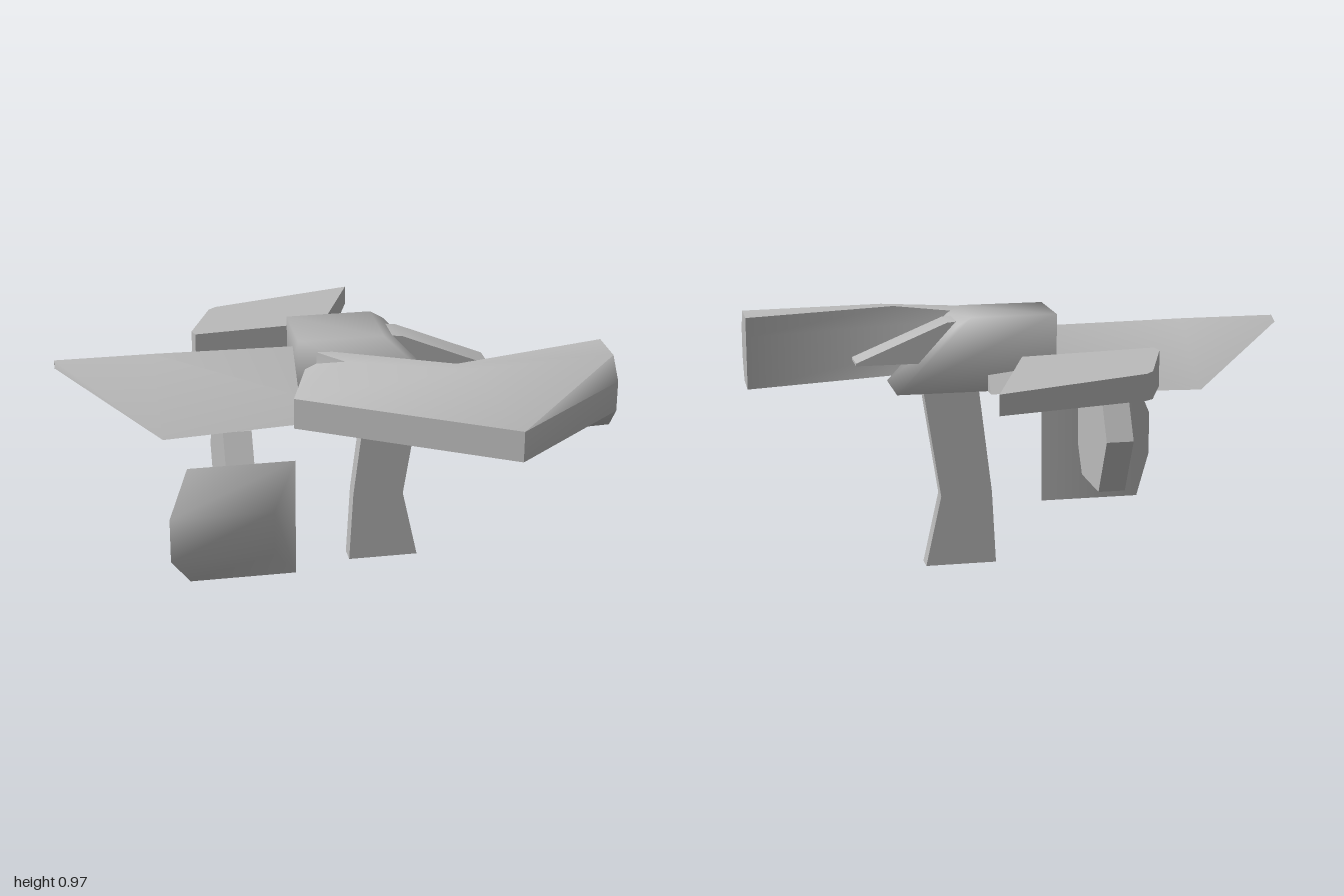
import * as THREE from 'three';
import { toCreasedNormals } from 'three/addons/utils/BufferGeometryUtils.js';

const grey = new THREE.MeshStandardMaterial({ color: 0xbbbbbb });
grey.name = 'grey';

// Skin rings of equal length, closing both ends; `axis` is dropped when triangulating the ends.
function loft(rings, axis, crease) {
  const n = rings[0].length, index = [];
  const id = (r, i) => r * n + (i % n);
  for (let r = 0; r < rings.length - 1; r++) {
    for (let i = 0; i < n; i++) {
      index.push(id(r, i), id(r, i + 1), id(r + 1, i + 1), id(r, i), id(r + 1, i + 1), id(r + 1, i));
    }
  }
  const flat = (ring) => ring.map((p) => new THREE.Vector2(...p.filter((_, k) => k !== axis)));
  const last = rings.length - 1;
  // Run each end cap against the direction of the walls it joins
  const addCap = (r) => {
    const contour = flat(rings[r]);
    const ccw = THREE.ShapeUtils.area(contour) > 0;
    for (const [a, b, c] of THREE.ShapeUtils.triangulateShape(contour, [])) {
      const [A, B, C] = [contour[a], contour[b], contour[c]];
      const triCcw = (B.x - A.x) * (C.y - A.y) - (B.y - A.y) * (C.x - A.x) > 0;
      const alongRing = triCcw === ccw;
      if (alongRing === (r === last)) index.push(id(r, a), id(r, b), id(r, c));
      else index.push(id(r, a), id(r, c), id(r, b));
    }
  };
  addCap(0);
  addCap(last);
  // Turn everything outward if the enclosed volume is negative
  const v = rings.flat().map((p) => new THREE.Vector3(...p));
  let volume = 0;
  for (let i = 0; i < index.length; i += 3) {
    volume += v[index[i]].dot(v[index[i + 1]].clone().cross(v[index[i + 2]]));
  }
  if (volume < 0) index.reverse();
  const g = new THREE.BufferGeometry();
  g.setAttribute('position', new THREE.Float32BufferAttribute(rings.flat(2), 3));
  g.setIndex(index);
  return toCreasedNormals(g, crease);
}

// Side profile (x, y) carried from z0 to z1
const prism = (profile, z0, z1, crease) =>
  loft([z0, z1].map((z) => profile.map(([x, y]) => [x, y, z])), 2, crease);

export function createModel() {
  const model = new THREE.Group();
  const add = (name, geometry) => {
    const mesh = new THREE.Mesh(geometry, grey);
    mesh.name = name;
    model.add(mesh);
  };
  const sharp = 0.5, soft = 1.4, smooth = Math.PI;

  // Pointed roof-shaped hull: x, back z, front z, bottom y, ridge y
  const hull = [[-1, -0.05, 0.02, 0.89, 0.91], [-0.64, -0.28, 0.275, 0.69, 0.91], [0.14, -0.2, 0.2, 0.69, 0.9]];
  add('hull', loft(hull.map(([x, b, f, y0, y1]) => [[x, y0, b], [x, y1, -0.01], [x, y0, f]]), 0, soft));

  // Softly shaded cap with a sloping end, and the narrow spout on it
  add('cap', prism([[-0.12, 0.69], [-0.12, 0.97], [0.2, 0.97], [0.25, 0.94], [0.48, 0.69]], -0.145, 0.115, smooth));
  add('spout', prism([[0.2, 0.79], [0.22, 0.945], [0.28, 0.94], [0.62, 0.8], [0.62, 0.79]], -0.075, 0.05, sharp));

  // Swept front wing: wide blunt edge narrowing to a spine above and below
  const edge = [[-0.18, 0.38], [0.55, 0.8], [1, 0.43], [1, 0.2], [0.42, 0.34], [-0.08, 0.07]];
  const spine = [[0.03, 0.25], [0.46, 0.4], [1, 0.36], [1, 0.2], [0.42, 0.34], [-0.08, 0.07]];
  const ring = (pts, y) => pts.map(([x, z]) => [x, y, z]);
  const wingTop = ring(spine, 0.935);
  wingTop[5][1] = 0.92;
  add('wing', loft([ring(spine, 0.66), ring(edge, 0.745), ring(edge, 0.86), wingTop], 1, 1.1));

  // Separate rear fin, thinning towards the back
  const fin = [[-0.46, -0.34], [-0.45, -0.3], [0.055, -0.35], [0.23, -0.81], [-0.33, -0.64], [-0.36, -0.61]];
  const half = (z) => 0.07 + (z + 0.3) * 0.064;
  add('rearFin', loft([-1, 1].map((s) => fin.map(([x, z]) => [x, 0.791 + s * half(z), z])), 1, sharp));

  // Bent leg
  add('leg', prism([[0.095, 0], [0.365, 0], [0.305, 0.27], [0.37, 0.69], [0.16, 0.69], [0.11, 0.28]], -0.06, 0.01, sharp));

  // Upright faceted disc under the hull (z, y)
  const disc = [[0.31, 0.585], [0.31, 0.355], [0.24, 0.245], [-0.03, 0.245], [-0.15, 0.47], [-0.03, 0.69], [0.25, 0.69]];
  add('disc', loft([-0.42, -0.315].map((x) => disc.map(([z, y]) => [x, y, z])), 0, sharp));

  // Skewed shield in front of the disc
  const rect = (x0, x1, y0, y1, z) => [[x0, y0, z], [x1, y0, z], [x1, y1, z], [x0, y1, z]];
  add('shield', loft([rect(-0.56, -0.165, 0.125, 0.585, 0.31), rect(-0.64, -0.26, 0.27, 0.44, 0.42)], 2, soft));

  return model;
}
